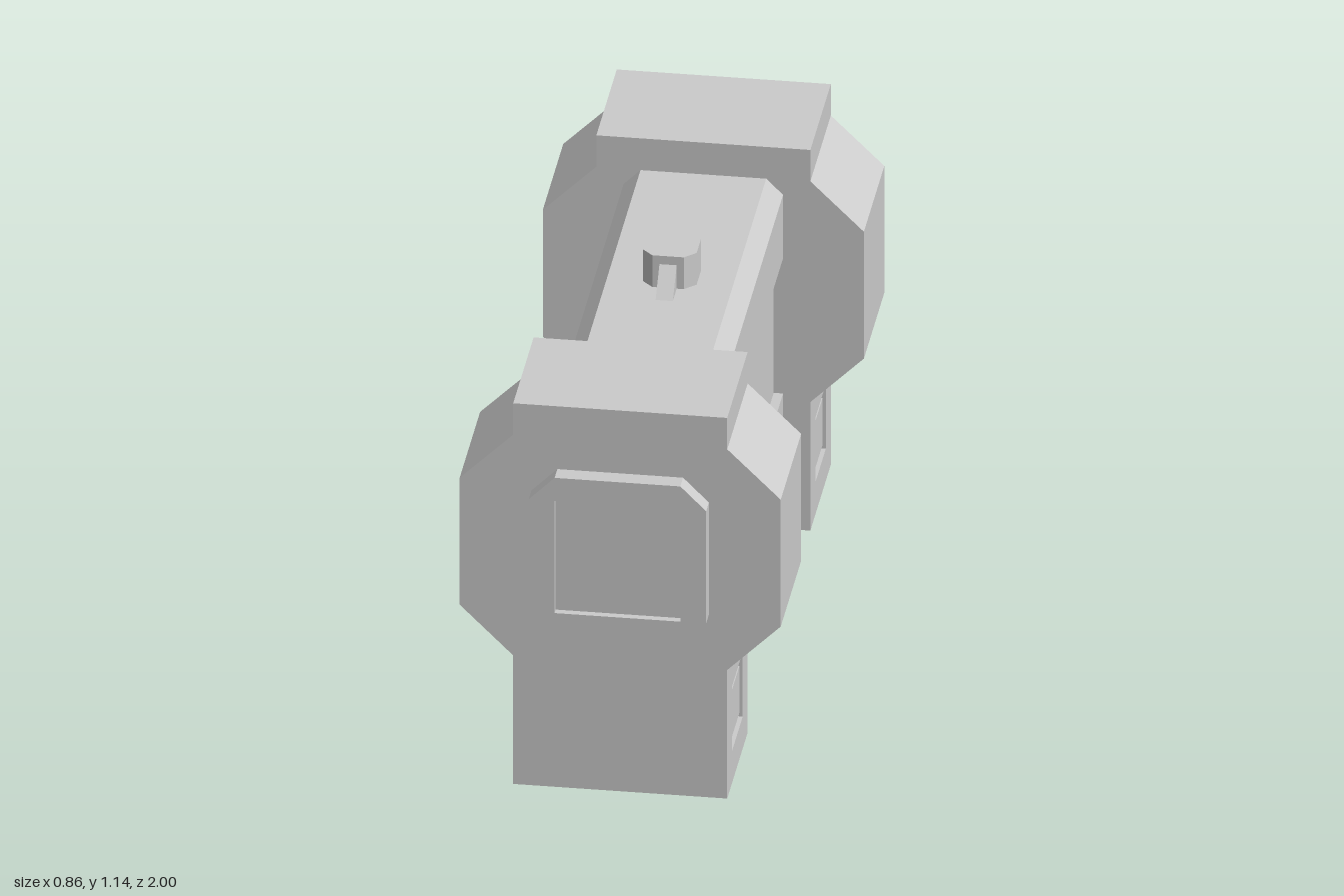
import * as THREE from 'three';

const material = new THREE.MeshStandardMaterial({ color: 0xcccccc, flatShading: true });

function add(parent, name, geometry) {
  const mesh = new THREE.Mesh(geometry, material);
  mesh.name = name;
  parent.add(mesh);
  return mesh;
}

const shapeFrom = (pts) => new THREE.Shape(pts.map(([x, y]) => new THREE.Vector2(x, y)));

// Closed outline from its right half, listed from bottom to top
const mirrored = (half) => shapeFrom([...half, ...half.map(([x, y]) => [-x, y]).reverse()]);

const extrude = (shape, depth) => new THREE.ExtrudeGeometry(shape, { depth, bevelEnabled: false });

// Square with cut corners, centred on the origin
const cutSquare = (r, cut) => mirrored([[r - cut, -r], [r, cut - r], [r, r - cut], [r - cut, r]]);

function withSquareHole(shape, r, cx = 0, cy = 0) {
  shape.holes.push(new THREE.Path([[-r, -r], [-r, r], [r, r], [r, -r]]
    .map(([x, y]) => new THREE.Vector2(cx + x, cy + y))));
  return shape;
}

function makeEndCap() {
  const cap = new THREE.Group();
  const back = 0.575, depth = 0.375, inset = 0.02;

  // Main block, narrower at the foot to make room for the side plates
  const foot = 0.286 - inset;
  add(cap, 'capBlock', extrude(mirrored([[foot, 0], [foot, 0.385], [0.286, 0.385],
    [0.429, 0.526], [0.429, 0.906], [0.286, 1.046], [0.286, 1.14]]), depth).translate(0, 0, back));

  // Foot side plates with a square recess and an inner block
  for (const side of [1, -1]) {
    const plate = withSquareHole(shapeFrom([[-depth / 2, 0], [depth / 2, 0],
      [depth / 2, 0.385], [-depth / 2, 0.385]]), 0.097, 0, 0.193);
    const panel = new THREE.Group();
    panel.name = side > 0 ? 'leftFootPanel' : 'rightFootPanel';
    add(panel, 'footPlate', extrude(plate, inset));
    add(panel, 'footInset', new THREE.BoxGeometry(0.14, 0.14, 0.015)).position.set(0, 0.191, 0.0075);
    panel.rotation.y = side * Math.PI / 2;
    panel.position.set(side * foot, 0, back + depth / 2);
    cap.add(panel);
  }

  // Raised end plate with a shallow square window
  add(cap, 'endPlate', extrude(withSquareHole(cutSquare(0.237, 0.069), 0.168), 0.05))
    .position.set(0, 0.715, 0.95);
  add(cap, 'endWindow', new THREE.BoxGeometry(0.336, 0.336, 0.03)).position.set(0, 0.715, 0.965);
  return cap;
}

export function createModel() {
  const model = new THREE.Group();

  // Central body with recessed side channels
  const out = 0.213, inn = 0.188;
  add(model, 'body', extrude(mirrored([[out, 0], [out, 0.075], [inn, 0.1], [inn, 0.31],
    [out, 0.335], [out, 0.405], [inn, 0.405], [inn, 0.81], [out, 0.81], [out, 1.0],
    [0.168, 1.045]]), 1.15).translate(0, 0, -0.575));

  // Matching caps at both ends
  ['frontCap', 'backCap'].forEach((name, i) => {
    const cap = makeEndCap();
    cap.name = name;
    cap.rotation.y = i * Math.PI;
    model.add(cap);
  });

  // Top knob with a sloped fin in front and behind
  add(model, 'topKnob', extrude(cutSquare(0.072, 0.03), 0.095).rotateX(-Math.PI / 2))
    .position.y = 1.045;
  for (const side of [1, -1]) {
    const fin = extrude(shapeFrom([[0.06, 0], [0.143, 0], [0.072, 0.07], [0.06, 0.07]]), 0.046)
      .translate(0, 0, -0.023);
    const mesh = add(model, side > 0 ? 'frontFin' : 'backFin', fin);
    mesh.rotation.y = -side * Math.PI / 2;
    mesh.position.y = 1.045;
  }
  return model;
}
